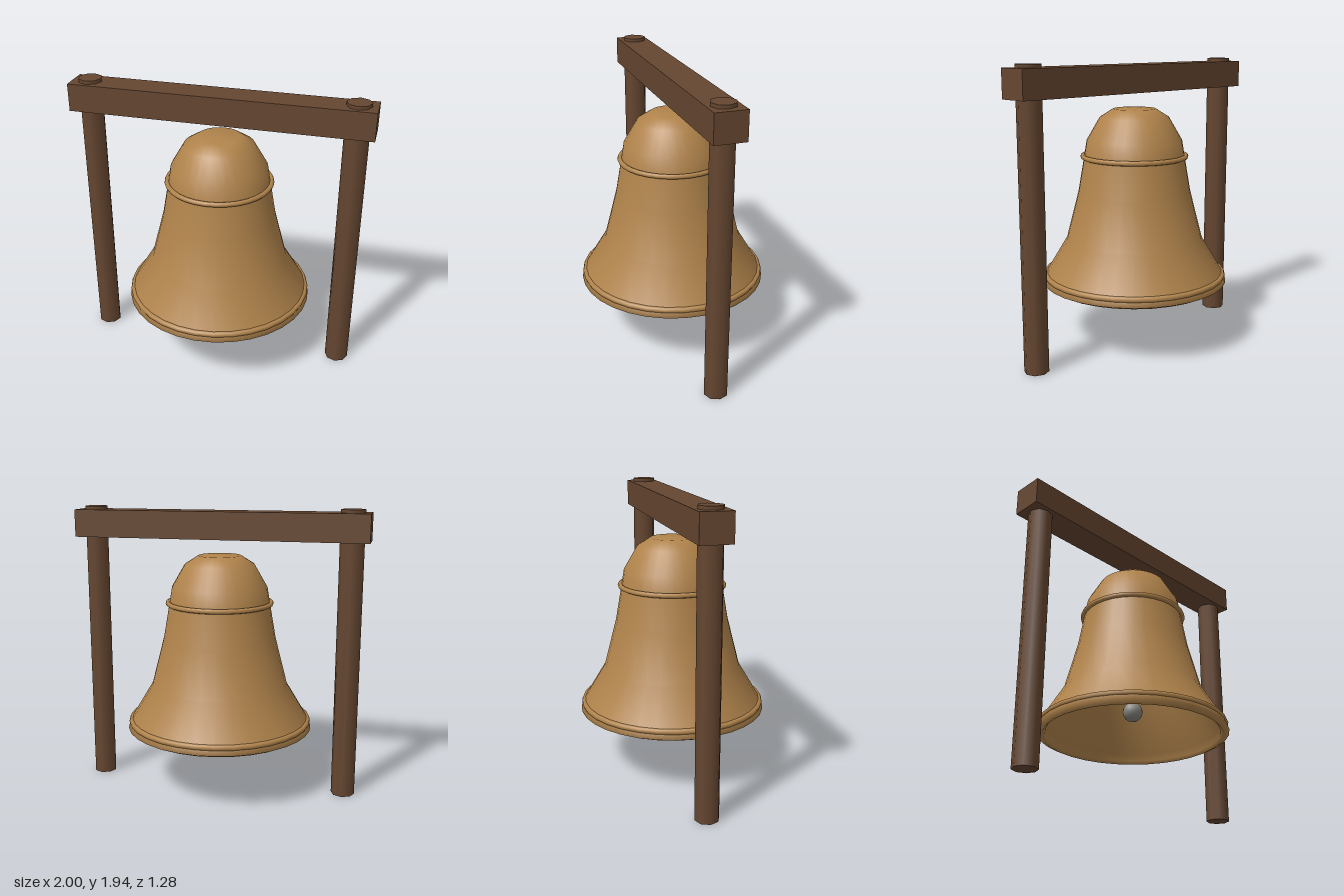
import * as THREE from 'three';

export function createModel() {
  const model = new THREE.Group();
  model.name = 'hangingBell';

  const material = (name, color) => {
    const m = new THREE.MeshStandardMaterial({ color });
    m.name = name;
    return m;
  };
  const wood = material('dark wood', 0x654630);
  const bronze = material('bronze', 0xb0834b);
  const iron = material('grey iron', 0x888680);

  const add = (name, geometry, mat, x, y, z, parent = model) => {
    const mesh = new THREE.Mesh(geometry, mat);
    mesh.name = name;
    mesh.position.set(x, y, z);
    parent.add(mesh);
    return mesh;
  };

  // Frame: two octagonal posts poking through a square beam
  add('beam', new THREE.BoxGeometry(2, 0.185, 0.205), wood, 0, 1.825, 0);
  for (const [name, x] of [['leftPost', 0.88], ['rightPost', -0.88]]) {
    add(name, new THREE.CylinderGeometry(0.08, 0.08, 1.94, 8), wood, x, 0.97, 0);
  }

  // Bell shell: down the inside, around the lip, up the outside
  const bell = new THREE.Group();
  bell.name = 'bell';
  model.add(bell);
  const inside = [
    [0, 1.58], [0.13, 1.58], [0.21, 1.53], [0.29, 1.4], [0.31, 1.29],
    [0.35, 1.05], [0.435, 0.72], [0.575, 0.48], [0.58, 0.43],
  ];
  const outside = [
    [0.60, 0.41], [0.64, 0.43], [0.62, 0.48], [0.47, 0.73], [0.385, 1.06],
    [0.345, 1.29], [0.325, 1.41], [0.235, 1.565], [0.145, 1.622], [0, 1.622],
  ];
  const profile = [...inside, ...outside].map(([r, y]) => new THREE.Vector2(r, y));
  add('bellShell', new THREE.LatheGeometry(profile, 32), bronze, 0, 0, 0, bell);

  // Raised bands around the shoulder and the lip
  for (const [name, radius, tube, y] of [
    ['shoulderBand', 0.352, 0.017, 1.3],
    ['lipBand', 0.615, 0.02, 0.477],
  ]) {
    const ring = new THREE.TorusGeometry(radius, tube, 8, 32).rotateX(Math.PI / 2);
    add(name, ring, bronze, 0, y, 0, bell);
  }

  // Clapper hanging inside
  add('clapperRod', new THREE.CylinderGeometry(0.016, 0.016, 0.98, 8), iron, 0, 1.1, 0, bell);
  add('clapperBall', new THREE.SphereGeometry(0.067, 16, 12), iron, 0, 0.59, 0, bell);

  return model;
}
